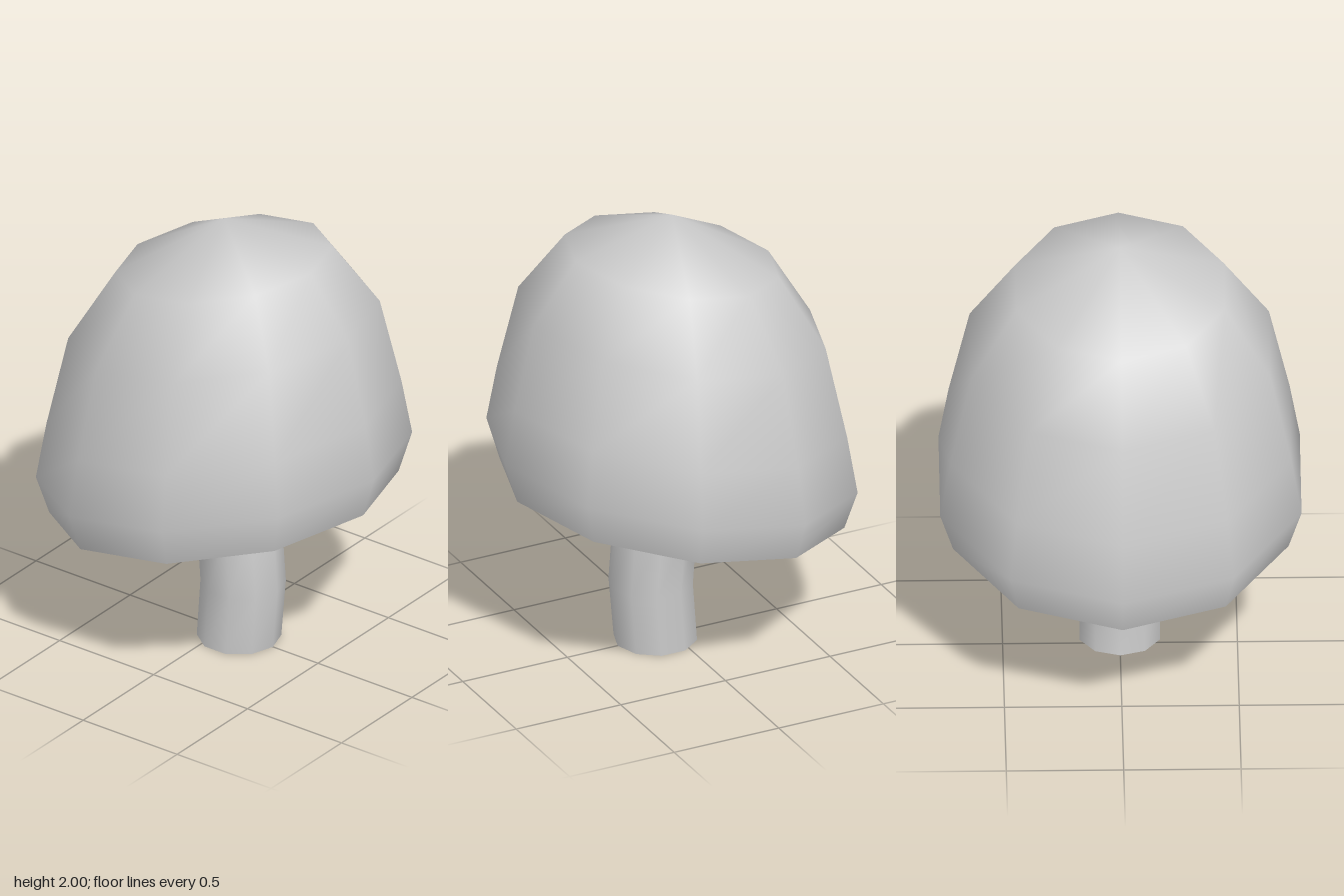
import * as THREE from 'three';
import { mergeVertices } from 'three/addons/utils/BufferGeometryUtils.js';

const SIDES = 10;
const TILT = 0.175; // rise of the cap per unit of x

// Smooth skin through rings { r, y, x, tilt }, listed bottom to top for an outward face
function loft(rings, zScale = 1) {
  const positions = [], index = [];
  rings.forEach(({ r, y, x = 0, tilt = 0 }) => {
    for (let i = 0; i < SIDES; i++) {
      const a = (i / SIDES) * Math.PI * 2;
      const dx = r * Math.cos(a);
      positions.push(x + dx, y + dx * tilt, r * Math.sin(a) * zScale);
    }
  });
  for (let k = 0; k < rings.length - 1; k++) {
    for (let i = 0; i < SIDES; i++) {
      const n = (i + 1) % SIDES;
      const a = k * SIDES + i, b = k * SIDES + n;
      const c = a + SIDES, d = b + SIDES;
      if (rings[k].r > 0) index.push(a, c, b);
      if (rings[k + 1].r > 0) index.push(b, c, d);
    }
  }
  let geometry = new THREE.BufferGeometry();
  geometry.setAttribute('position', new THREE.Float32BufferAttribute(positions, 3));
  geometry.setIndex(index);
  geometry = mergeVertices(geometry); // joins the points at the tip
  geometry.computeVertexNormals();
  return geometry;
}

export function createModel() {
  const group = new THREE.Group();
  const material = new THREE.MeshStandardMaterial({ color: 0xcccccc });
  const openMaterial = new THREE.MeshStandardMaterial({ color: 0xcccccc, side: THREE.DoubleSide });

  const add = (name, geometry, mat = material) => {
    const mesh = new THREE.Mesh(geometry, mat);
    mesh.name = name;
    group.add(mesh);
  };
  const capPart = (name, profile) =>
    add(name, loft(profile.map(([r, y]) => ({ r, y, tilt: TILT })), 1.015));

  // Slanted cap: dome, rim and shallow recess, kept apart for sharp edges
  capPart('capDome', [[0.74, 0.67], [0.797, 0.85], [0.752, 1.105], [0.66, 1.507], [0.46, 1.802], [0, 2]]);
  capPart('capRim', [[0.68, 0.67], [0.74, 0.67]]);
  capPart('capInnerWall', [[0.68, 0.717], [0.68, 0.67]]);
  capPart('capUnderside', [[0, 0.717], [0.68, 0.717]]);

  // Bent stem, open at both ends
  add('stem', loft([
    { r: 0.18, x: 0.08, y: 0 },
    { r: 0.182, x: 0.102, y: 0.275 },
    { r: 0.18, x: 0.08, y: 0.57, tilt: 0.167 },
    { r: 0.2, x: 0, y: 0.717, tilt: TILT },
  ]), openMaterial);

  return group;
}
